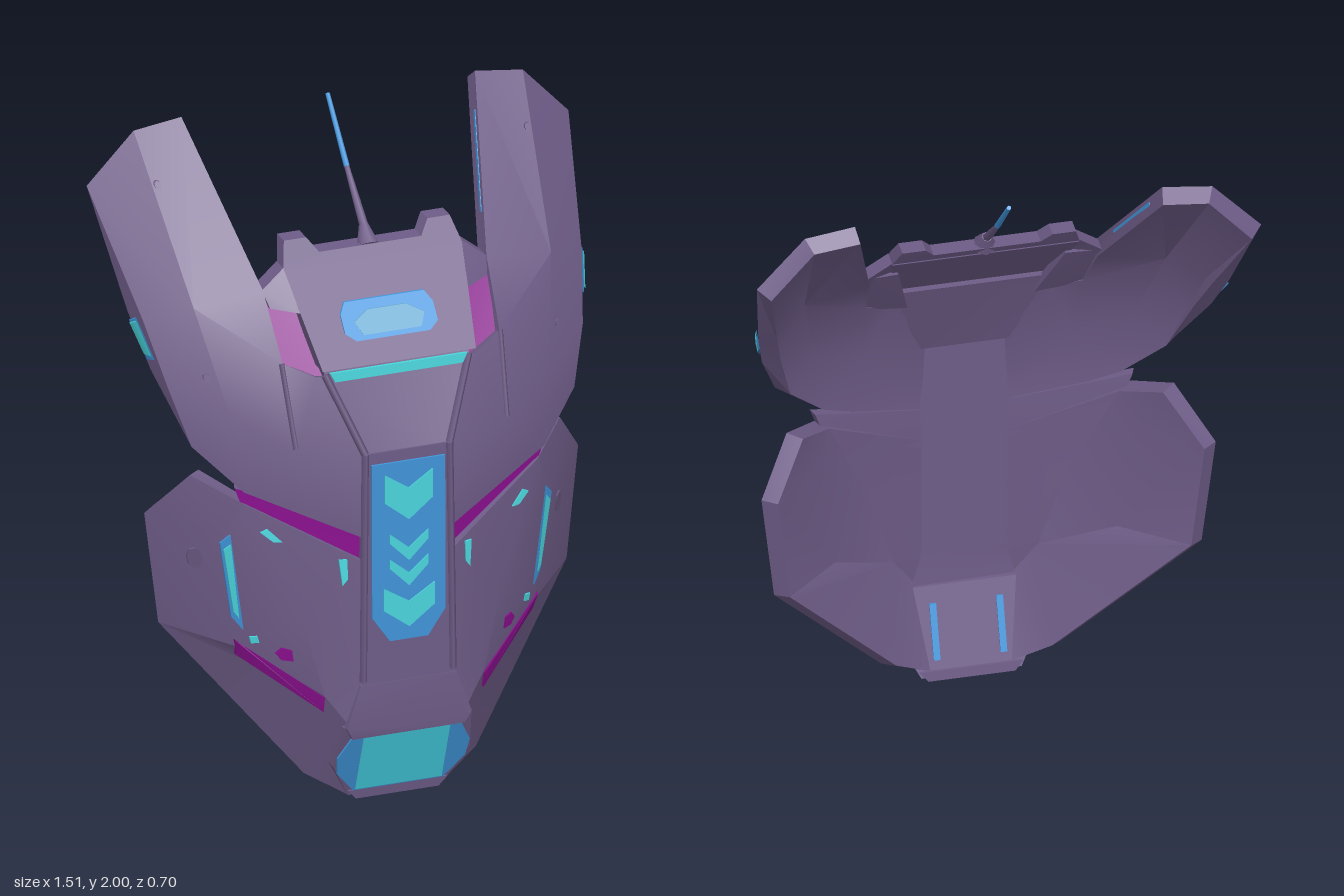
import * as THREE from 'three';
import { toCreasedNormals } from 'three/addons/utils/BufferGeometryUtils.js';

const mat = (name, color) => {
  const m = new THREE.MeshStandardMaterial({ color });
  m.name = name;
  return m;
};

export function createModel() {
  const purple = mat('armour purple', 0x6e5c87);
  const magenta = mat('recess magenta', 0x8c1090);
  const blue = mat('panel blue', 0x4195da);
  const cyan = mat('glow cyan', 0x4ad6dc);
  const teal = mat('chin teal', 0x46d2e4);
  const pale = mat('visor pale blue', 0x66a8cc);

  const root = new THREE.Group();
  root.name = 'mask';
  const add = (geo, material, name) => {
    const mesh = new THREE.Mesh(geo, material);
    mesh.name = name;
    root.add(mesh);
    return mesh;
  };

  // Thick sheet: front facets, a back copy and walls on open edges.
  // off is a shift vector, or a thickness measured along the vertex normals.
  function shell(name, verts, faces, off, front, back = front, side = 1) {
    const V = verts.map(([x, y, z]) => new THREE.Vector3(x * side, y, z));
    const N = V.map(() => new THREE.Vector3());
    const tris = faces.map(([a, b, c]) => {
      const n = V[b].clone().sub(V[a]).cross(V[c].clone().sub(V[a]));
      const flip = n.z < 0;
      if (flip) n.negate();
      for (const i of [a, b, c]) N[i].add(n);
      return flip ? [a, c, b] : [a, b, c];
    });
    const B = V.map((v, i) => Array.isArray(off)
      ? new THREE.Vector3(v.x + off[0] * side, v.y + off[1], v.z + off[2])
      : v.clone().addScaledVector(N[i].normalize(), -off));
    const edges = new Set();
    for (const t of tris) for (let i = 0; i < 3; i++) edges.add(t[i] + '_' + t[(i + 1) % 3]);
    const pos = [];
    const put = (...p) => p.forEach(v => pos.push(v.x, v.y, v.z));
    for (const [a, b, c] of tris) put(V[a], V[b], V[c]);
    const n = pos.length / 3;
    for (const [a, b, c] of tris) put(B[a], B[c], B[b]);
    for (const e of edges) {
      const [a, b] = e.split('_').map(Number);
      if (!edges.has(b + '_' + a)) put(V[b], V[a], B[a], V[b], B[a], B[b]);
    }
    let geo = new THREE.BufferGeometry();
    geo.setAttribute('position', new THREE.Float32BufferAttribute(pos, 3));
    geo = toCreasedNormals(geo, 0.4);
    if (front === back) return add(geo, front, name);
    geo.addGroup(0, n, 0);
    geo.addGroup(n, pos.length / 3 - n, 1);
    return add(geo, [front, back], name);
  }

  // Sheet from one outline
  function plate(name, pts, off, front, back = front, side = 1) {
    const flat = pts.map(p => new THREE.Vector2(p[0], p[1]));
    return shell(name, pts, THREE.ShapeUtils.triangulateShape(flat, []), off, front, back, side);
  }

  // Thin painted plate laid on the front of a part
  const ray = new THREE.Raycaster();
  function decal(name, target, pts, material, lift = 0.007, side = 1) {
    const laid = pts.map(([x, y]) => {
      ray.set(new THREE.Vector3(x * side, y, 3), new THREE.Vector3(0, 0, -1));
      return [x, y, ray.intersectObject(target)[0].point.z + lift];
    });
    return plate(name, laid, [0, 0, -0.009], material, material, side);
  }

  // Straight bar or tapered rod between two points
  function rod(name, p, q, r0, r1, sides, material, side = 1) {
    const a = new THREE.Vector3(p[0] * side, p[1], p[2]);
    const b = new THREE.Vector3(q[0] * side, q[1], q[2]);
    const dir = b.clone().sub(a);
    const m = add(new THREE.CylinderGeometry(r1, r0, dir.length(), sides), material, name);
    m.position.copy(a).add(b).multiplyScalar(0.5);
    m.quaternion.setFromUnitVectors(new THREE.Vector3(0, 1, 0), dir.normalize());
  }

  const both = half => [...half, ...half.slice().reverse().map(([x, ...r]) => [-x, ...r])];
  const depth = [0, 0, -0.055];
  const thin = [0, 0, -0.009];

  // Centre strip, brow plate, forehead and crown
  const strip = plate('centreStrip', both([[0.145, 0.38, 0.34], [0.14, 1.13, 0.333]]), depth, purple);
  plate('browPlate', both([[0.14, 1.12, 0.33], [0.225, 1.36, 0.245], [0.232, 1.4, 0.228]]), depth, purple);
  const forehead = plate('forehead', both([[0.24, 1.385, 0.268], [0.28, 1.63, 0.055]]), [0, 0, -0.06], purple);
  plate('crown', both([[0.28, 1.63, 0.055], [0.26, 1.7, 0.005], [0.19, 1.7, 0.005], [0.16, 1.66, 0.033]]), depth, purple);

  // Chin
  const chinZ = y => 0.24 + (y - 0.01) * 0.365;
  const onChin = lift => ([x, y]) => [x, y, chinZ(y) + lift];
  plate('chin', both([[0.15, 0.01], [0.215, 0.13], [0.2, 0.27]]).map(onChin(0)), depth, purple);
  plate('chinLip', both([[0.175, 0.232, 0.342], [0.195, 0.27, 0.35], [0.15, 0.4, 0.342]]), depth, purple);
  plate('chinFoot', both([[0.13, 0, 0.25], [0.155, 0.03, 0.255]]), [0, 0, -0.07], purple);
  plate('chinSurround', both([[0.14, 0.03], [0.2, 0.1], [0.207, 0.16], [0.17, 0.23]]).map(onChin(0.008)), thin, blue);
  plate('chinWindow', both([[0.135, 0.035], [0.135, 0.228]]).map(onChin(0.012)), thin, teal);

  // Painted front details
  decal('stripPanel', strip, both([[0.06, 0.53], [0.115, 0.61], [0.115, 1.095]]), blue);
  for (const [y, h, w] of [[0.97, 0.09, 0.075], [0.84, 0.03, 0.06], [0.76, 0.03, 0.06], [0.63, 0.07, 0.08]])
    decal('chevron', strip, [[-w, y + h], [-w, y], [0, y - 0.06], [w, y], [w, y + h], [0, y + h - 0.05]], cyan, 0.011);
  decal('foreheadWindow', forehead, both([[0.115, 1.445], [0.145, 1.465], [0.145, 1.51], [0.125, 1.538]]), blue);
  decal('foreheadGlint', forehead, both([[0.09, 1.458], [0.11, 1.49], [0.06, 1.515]]), pale, 0.011);
  plate('browLight', both([[0.2, 1.345, 0.266], [0.215, 1.374, 0.264]]), thin, cyan);

  // Antenna
  rod('antennaBase', [0, 1.65, 0.015], [0, 1.7, -0.02], 0.035, 0.015, 8, purple);
  rod('antennaRod', [0, 1.69, -0.01], [0, 1.83, -0.155], 0.014, 0.008, 6, purple);
  rod('antennaTip', [0, 1.83, -0.155], [0, 2, -0.31], 0.009, 0.007, 6, blue);

  const earVerts = [
    [0.13, 1.13, 0.33], [0.22, 1.36, 0.245], [0.145, 0.87, 0.335], [0.47, 1.02, 0.225],
    [0.6, 1.15, 0.135], [0.65, 1.32, 0.075], [0.688, 1.5, -0.03], [0.755, 1.825, -0.31],
    [0.61, 1.98, -0.305], [0.46, 2, -0.305], [0.35, 1.58, 0.07], [0.33, 1.15, 0.288],
    [0.25, 1.36, 0.243], [0.56, 1.55, 0.05], [0.5, 1.25, 0.195], [0.34, 1.4, 0.2],
    [0.672, 1.35, -0.01], [0.705, 1.5, -0.11],
  ];
  const earFaces = [
    [2, 3, 11], [2, 11, 0], [0, 11, 12], [0, 12, 1], [11, 15, 12], [11, 3, 14], [11, 14, 15], [3, 4, 14],
    [4, 5, 14], [14, 5, 13], [5, 6, 13], [6, 7, 13], [7, 8, 13], [8, 9, 13], [9, 10, 13], [10, 15, 13], [15, 14, 13],
    [4, 16, 5], [5, 16, 17], [5, 17, 6], [6, 17, 7],
  ];
  const cheekVerts = [
    [0.14, 0.79, 0.335], [0.14, 0.4, 0.338], [0.25, 0.37, 0.305], [0.46, 0.5, 0.165], [0.52, 0.86, 0.155],
    [0.46, 0.97, 0.2], [0.58, 1.03, 0.07], [0.68, 0.88, -0.04], [0.64, 0.53, -0.03], [0.27, 0.08, 0.19],
    [0.15, 0.01, 0.235], [0.18, 0.27, 0.333], [0.31, 0.62, 0.287],
  ];
  const cheekFaces = [
    [0, 1, 12], [1, 2, 12], [2, 3, 12], [3, 4, 12], [4, 5, 12], [5, 0, 12], [3, 8, 7], [3, 7, 4],
    [4, 7, 6], [4, 6, 5], [1, 11, 2], [11, 9, 2], [2, 9, 8], [2, 8, 3], [10, 9, 11],
  ];

  // Point on the steep outer wall of the ear: u up the wall, v from front to back
  const corner = i => new THREE.Vector3(...earVerts[i]);
  const onEarWall = lift => ([u, v]) => {
    const p = corner(5).lerp(corner(6), u).lerp(corner(16).lerp(corner(17), u), v);
    return [p.x + lift, p.y, p.z + lift * 0.3];
  };
  // Point on the inner rim of the ear: u down the rim, d into its thickness
  const onEarRim = ([u, d]) => {
    const p = corner(9).lerp(corner(10), u);
    return [p.x + 0.001, p.y - d * 0.66, p.z - d * 0.75];
  };

  for (const s of [1, -1]) {
    const tag = s > 0 ? 'left' : 'right';
    const ear = shell(tag + 'Ear', earVerts, earFaces, 0.055, purple, purple, s);
    const cheek = shell(tag + 'Cheek', cheekVerts, cheekFaces, 0.055, purple, purple, s);
    plate(tag + 'CrownWing', [[0.262, 1.525, 0.146], [0.34, 1.535, 0.1], [0.352, 1.58, 0.065], [0.28, 1.635, 0.052]],
      depth, purple, purple, s);

    // Recessed strips between the plates, plain on the inside
    plate(tag + 'CheekGap', [[0.14, 0.9, 0.31], [0.14, 0.76, 0.31], [0.46, 0.95, 0.19], [0.485, 1.02, 0.185]],
      [-0.01, 0, -0.03], magenta, purple, s);
    plate(tag + 'TempleGap', [[0.19, 1.33, 0.23], [0.35, 1.37, 0.195], [0.36, 1.57, 0.06], [0.25, 1.56, 0.08]],
      [0, 0, -0.035], magenta, purple, s);
    plate(tag + 'JawStrip', [[0.25, 0.365, 0.311], [0.25, 0.315, 0.3], [0.465, 0.47, 0.147], [0.475, 0.525, 0.165], [0.455, 0.51, 0.176]],
      [0, 0, -0.04], magenta, magenta, s);

    // Raised seams
    rod(tag + 'StripRail', [0.14, 0.41, 0.338], [0.132, 1.13, 0.332], 0.012, 0.012, 4, purple, s);
    rod(tag + 'BrowRail', [0.132, 1.13, 0.332], [0.225, 1.365, 0.247], 0.012, 0.012, 4, purple, s);
    rod(tag + 'EarSeam', [0.33, 1.16, 0.284], [0.342, 1.4, 0.199], 0.009, 0.009, 4, purple, s);

    // Lights
    decal(tag + 'CheekSlotFrame', cheek, [[0.455, 0.56], [0.485, 0.6], [0.52, 0.84], [0.495, 0.87]], blue, 0.008, s);
    decal(tag + 'CheekSlot', cheek, [[0.468, 0.6], [0.482, 0.62], [0.512, 0.82], [0.495, 0.84]], cyan, 0.013, s);
    decal(tag + 'CheekMark', cheek, [[0.36, 0.855], [0.385, 0.855], [0.42, 0.885], [0.4, 0.895]], cyan, 0.007, s);
    decal(tag + 'InnerMark', cheek, [[0.185, 0.74], [0.2, 0.72], [0.208, 0.8], [0.185, 0.8]], cyan, 0.007, s);
    decal(tag + 'CheekSpot', cheek, [[0.415, 0.525], [0.435, 0.52], [0.44, 0.54], [0.42, 0.545]], cyan, 0.007, s);
    decal(tag + 'JawSpot', cheek, [[0.33, 0.475], [0.36, 0.475], [0.375, 0.495], [0.36, 0.515], [0.335, 0.51]], magenta, 0.007, s);
    plate(tag + 'EarSlotFrame', [[0.4, 0.1], [0.25, 0.75], [0.85, 0.95], [1, 0.3]].map(onEarWall(0.006)), thin, blue, blue, s);
    plate(tag + 'EarSlot', [[0.45, 0.15], [0.35, 0.7], [0.82, 0.9], [0.95, 0.3]].map(onEarWall(0.01)), thin, cyan, cyan, s);
    plate(tag + 'EarRimLight', [[0.2, 0.014], [0.75, 0.014], [0.75, 0.04], [0.2, 0.04]].map(onEarRim), [-0.005, 0, 0], blue, blue, s);

    // Rivets and cheek boss
    for (const [part, x, y, rx, ry] of [[cheek, 0.57, 0.77, 0.017, 0.035], [ear, 0.58, 1.85, 0.01, 0.01], [ear, 0.55, 1.36, 0.01, 0.01]]) {
      const ring = Array.from({ length: 8 }, (_, i) => [x + rx * Math.cos(i * Math.PI / 4), y + ry * Math.sin(i * Math.PI / 4)]);
      decal(tag + 'Rivet', part, ring, purple, 0.009, s);
    }

    // Blue stripes inside the chin
    plate(tag + 'InnerStripe', [[0.09, 0.06], [0.11, 0.06], [0.11, 0.22], [0.09, 0.22]].map(onChin(-0.052)), thin, blue, blue, s);
  }
  return root;
}
